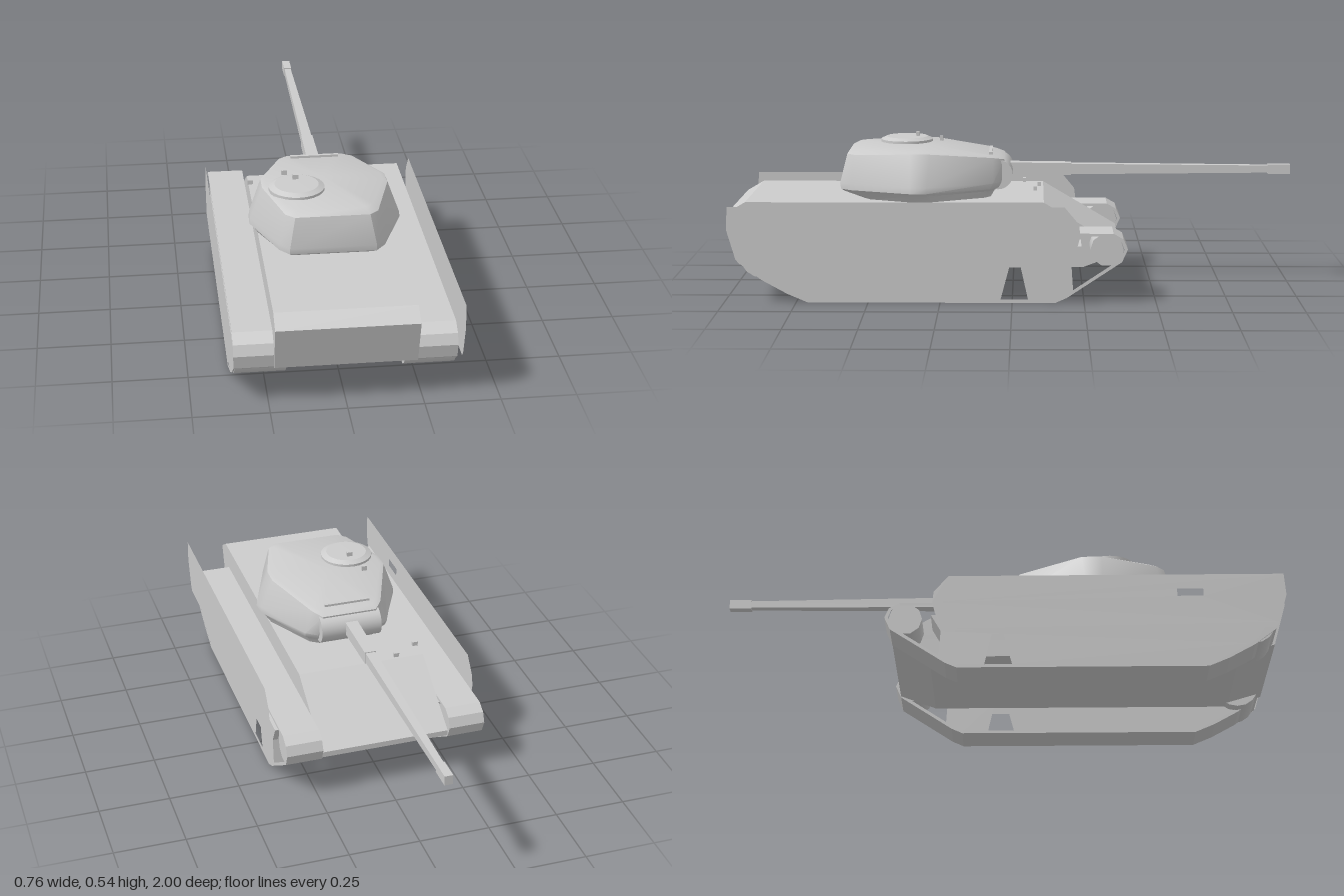
import * as THREE from 'three';
import { toCreasedNormals } from 'three/addons/utils/BufferGeometryUtils.js';

const grey = new THREE.MeshStandardMaterial({ color: 0xcccccc });
const thin = new THREE.MeshStandardMaterial({ color: 0xcccccc, side: THREE.DoubleSide });

// Side outlines are lists of [z, y]
const path = (pts) => pts.map(([z, y]) => new THREE.Vector2(-z, y));
function outline(pts, hole) {
  const s = new THREE.Shape(path(pts));
  if (hole) s.holes.push(new THREE.Path(path(hole)));
  return s;
}

// Solid with a side outline, from x0 to x1
function slab(pts, x0, x1, hole) {
  const g = new THREE.ExtrudeGeometry(outline(pts, hole), { depth: x1 - x0, bevelEnabled: false });
  return g.rotateY(Math.PI / 2).translate(x0, 0, 0);
}

// Cylinder lying along x
const axle = (r, x0, x1, y, z, n = 16) =>
  new THREE.CylinderGeometry(r, r, x1 - x0, n).rotateZ(Math.PI / 2).translate((x0 + x1) / 2, y, z);

// Closed loft over mirrored half rings of [x, y, z], bottom to top
function loft(levels, capBottom, capTop) {
  const rings = levels.map((h) => [...h, ...h.slice().reverse().map(([x, y, z]) => [-x, y, z])]);
  const n = rings[0].length, last = (rings.length - 1) * n;
  const index = [], verts = [...rings.flat(), capBottom, capTop];
  const cb = verts.length - 2, ct = verts.length - 1;
  for (let i = 0; i < n; i++) {
    const j = (i + 1) % n;
    for (let k = 0; k < last; k += n) {
      index.push(k + i, k + n + i, k + j, k + j, k + n + i, k + n + j);
    }
    index.push(cb, i, j, ct, last + j, last + i);
  }
  const g = new THREE.BufferGeometry();
  g.setAttribute('position', new THREE.Float32BufferAttribute(verts.flat(), 3));
  g.setIndex(index);
  return toCreasedNormals(g, 0.6);
}

export function createModel() {
  const model = new THREE.Group();
  const add = (name, geometry, material = grey) => {
    const m = new THREE.Mesh(geometry, material);
    m.name = name;
    model.add(m);
    return m;
  };
  const box = (name, w, h, d, x, y, z) =>
    add(name, new THREE.BoxGeometry(w, h, d).translate(x, y, z));

  // Hull, with the sloped nose at -z
  add('hull', slab([[0.94, 0.33], [1, 0.295], [0.955, 0.138], [0.83, 0.1], [-0.25, 0.1],
    [-0.38, 0.15], [-0.38, 0.17], [-0.11, 0.33]], -0.232, 0.232));

  // Running gear on both sides
  const trackOuter = [[0.71, 0], [0.78, 0.03], [0.87, 0.08], [0.945, 0.138], [0.955, 0.185],
    [0.94, 0.22], [0.9, 0.245], [-0.35, 0.245], [-0.385, 0.225], [-0.4, 0.19],
    [-0.38, 0.145], [-0.19, 0.018], [-0.15, 0]];
  const trackInner = [[0.705, 0.01], [0.77, 0.038], [0.865, 0.092], [0.935, 0.145], [0.943, 0.185],
    [0.93, 0.212], [0.9, 0.235], [-0.345, 0.235], [-0.377, 0.218], [-0.388, 0.188],
    [-0.37, 0.152], [-0.185, 0.028], [-0.148, 0.01]];
  const wheelBank = [[0.71, 0.004], [0.78, 0.034], [0.87, 0.085], [0.94, 0.142], [0.94, 0.2],
    [-0.24, 0.2], [-0.205, 0.138], [-0.212, 0.035], [-0.15, 0.004]];
  const gap = [[0.04, 0.012], [0.01, 0.125], [-0.03, 0.125], [-0.055, 0.012]];
  const skirt = [[0.98, 0.34], [0.985, 0.26], [0.955, 0.155], [0.94, 0.137], [-0.2, 0.137],
    [-0.225, 0.2], [-0.235, 0.24], [-0.23, 0.28], [-0.18, 0.34]];
  const slit = [[0.61, 0.255], [0.7, 0.255], [0.7, 0.285], [0.61, 0.285]];
  for (const [side, s] of [['left', 1], ['right', -1]]) {
    const span = (a, b) => (s > 0 ? [a, b] : [-b, -a]);
    add(side + 'Track', slab(trackOuter, ...span(0.232, 0.362), trackInner));
    add(side + 'RoadWheelBank', slab(wheelBank, ...span(0.236, 0.36), gap));
    add(side + 'RearSprocket', axle(0.078, ...span(0.192, 0.358), 0.164, 0.865));
    add(side + 'FrontWheel', axle(0.058, ...span(0.234, 0.356), 0.187, -0.328, 10));
    const sheet = new THREE.ShapeGeometry(outline(skirt, s < 0 ? slit : null));
    add(side + 'Skirt', sheet.rotateY(Math.PI / 2).translate(s * 0.378, 0, 0), thin);
  }

  // Turret: flared collar, bulging wall, inset roof sloping towards the gun
  const level = (y, pts) => pts.map(([x, z]) => [x, typeof y === 'function' ? y(z) : y, z]);
  const wallTop = (z) => (z > 0.5 ? 0.487 : Math.min(0.497, 0.457 + z * 0.22));
  const roofTop = (z) => Math.min(0.502, 0.463 + z * 0.2);
  add('turret', loft([
    level(0.328, [[0.1, 0.08], [0.13, 0.1], [0.225, 0.28], [0.23, 0.36], [0.17, 0.5], [0.14, 0.52]]),
    level(0.354, [[0.1, 0.065], [0.14, 0.09], [0.245, 0.3], [0.248, 0.36], [0.165, 0.56], [0.135, 0.595]]),
    level(0.364, [[0.11, 0.05], [0.152, 0.08], [0.258, 0.3], [0.26, 0.36], [0.178, 0.57], [0.145, 0.61]]),
    level(0.385, [[0.115, 0.04], [0.155, 0.07], [0.256, 0.3], [0.257, 0.36], [0.178, 0.57], [0.145, 0.613]]),
    level(wallTop, [[0.1, 0.03], [0.13, 0.07], [0.215, 0.29], [0.215, 0.36], [0.155, 0.56], [0.125, 0.588]]),
    level(roofTop, [[0.09, 0.05], [0.118, 0.085], [0.2, 0.29], [0.2, 0.35], [0.14, 0.535], [0.115, 0.56]]),
  ], [0, 0.328, 0.3], [0, 0.502, 0.3]));
  add('mantlet', axle(0.053, -0.112, 0.112, 0.41, 0.053, 24));
  box('roofSlot', 0.17, 0.008, 0.012, -0.005, 0.482, 0.08);

  // Gun: square tapering sections [name, z near, z far, half near, half far]
  for (const [name, z0, z1, a, b] of [
    ['gunSleeve', 0.03, -0.21, 0.024, 0.022],
    ['gunBarrel', -0.21, -0.92, 0.019, 0.013],
    ['muzzle', -0.92, -1, 0.017, 0.017],
  ]) {
    const g = new THREE.CylinderGeometry(a * Math.SQRT2, b * Math.SQRT2, z0 - z1, 4)
      .rotateY(Math.PI / 4).rotateX(Math.PI / 2);
    const m = add(name, toCreasedNormals(g.scale(name === 'muzzle' ? 0.85 : 0.95, 1, 1), 0.5));
    m.position.set(0, 0.416, (z0 + z1) / 2);
  }

  // Commander's cupola
  const cupola = new THREE.LatheGeometry([[0, 0.49], [0.095, 0.49], [0.095, 0.511], [0.075, 0.52], [0, 0.521]]
    .map(([r, y]) => new THREE.Vector2(r, y)), 24);
  add('cupola', toCreasedNormals(cupola.translate(-0.1, 0, 0.39), 0.3));

  // Periscopes on the roof and deck
  for (const [x, y, z] of [[-0.1, 0.527, 0.35], [-0.13, 0.507, 0.265], [-0.135, 0.336, -0.095],
    [-0.03, 0.336, -0.08], [-0.225, 0.336, -0.04]]) {
    box('periscope', 0.02, 0.018, 0.012, x, y, z);
  }
  return model;
}
